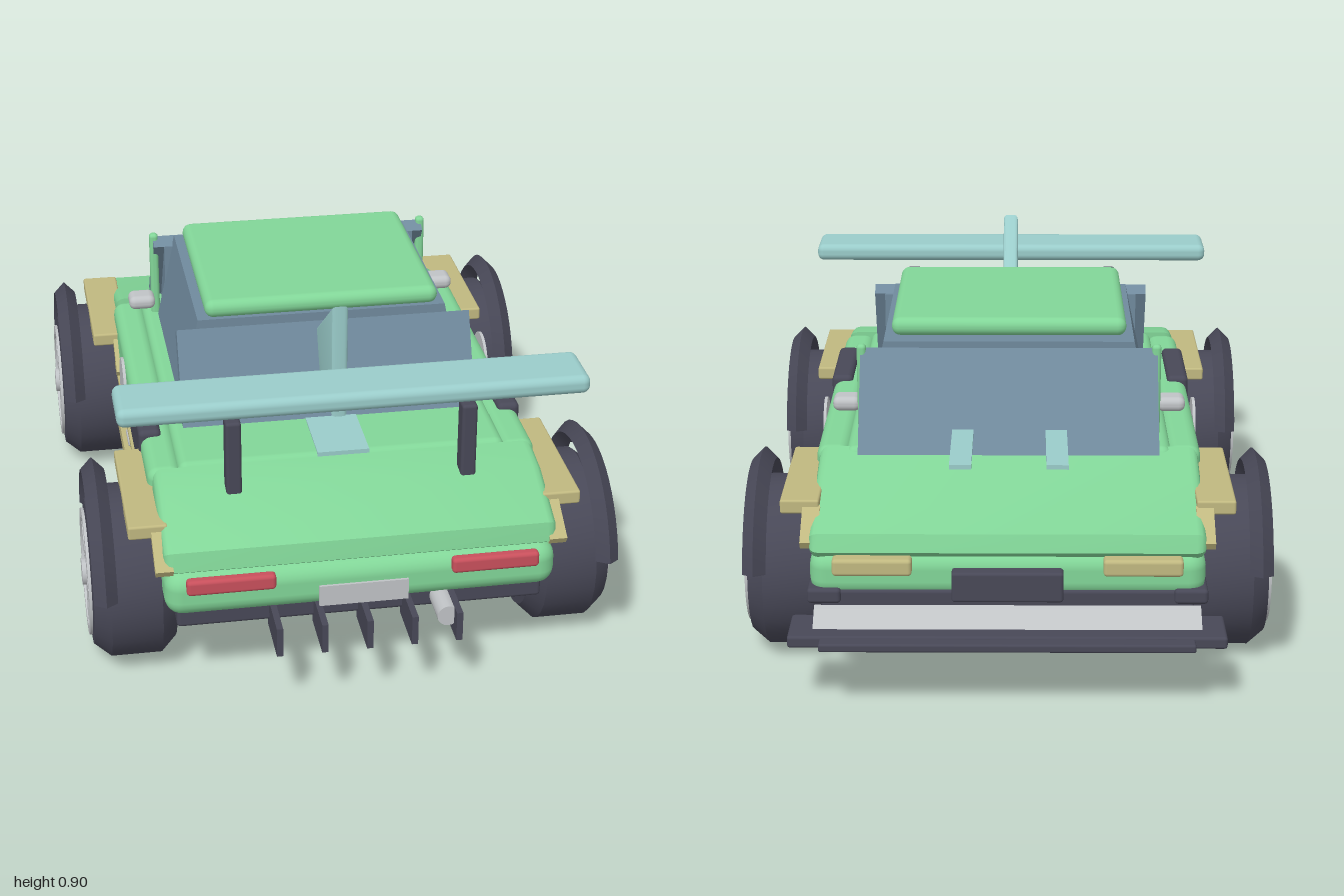
import * as THREE from 'three';
import { toCreasedNormals } from 'three/addons/utils/BufferGeometryUtils.js';
import { RoundedBoxGeometry } from 'three/addons/geometries/RoundedBoxGeometry.js';

const colour = (name, hex) => {
  const m = new THREE.MeshStandardMaterial({ color: hex });
  m.name = name;
  return m;
};

export function createModel() {
  const car = new THREE.Group();
  car.name = 'car';
  const green = colour('green paint', 0x82d698);
  const dark = colour('dark plastic', 0x484857);
  const glass = colour('blue glass', 0x708a9d);
  const teal = colour('pale teal', 0x9accca);
  const gold = colour('gold trim', 0xc0b880);
  const grey = colour('light grey', 0xc0c3c6);
  const red = colour('red lamp', 0xc8505c);

  const add = (name, geo, mat, parent = car) => {
    const m = new THREE.Mesh(geo, mat);
    m.name = name;
    parent.add(m);
    return m;
  };
  // Box given by its extents on each axis, optionally rounded
  const box = (name, mat, [x0, x1], [y0, y1], [z0, z1], r = 0, parent = car) => {
    const s = [x1 - x0, y1 - y0, z1 - z0];
    const g = r ? new RoundedBoxGeometry(...s, 3, r) : new THREE.BoxGeometry(...s);
    g.translate((x0 + x1) / 2, (y0 + y1) / 2, (z0 + z1) / 2);
    return add(name, g, mat, parent);
  };
  // The same box on both sides of the car
  const pair = (name, mat, [x0, x1], y, z, r = 0) => {
    box(name + 'Left', mat, [x0, x1], y, z, r);
    box(name + 'Right', mat, [-x1, -x0], y, z, r);
  };
  // Side profile of [z, y] points, extruded across x
  const prism = (name, mat, pts, [x0, x1], bevel = 0) => {
    const shape = new THREE.Shape(pts.map((p) => new THREE.Vector2(...p)));
    const depth = x1 - x0 - 2 * bevel;
    let g = new THREE.ExtrudeGeometry(shape, {
      depth, bevelEnabled: bevel > 0, bevelSize: bevel, bevelThickness: bevel,
      bevelOffset: -bevel, bevelSegments: 3,
    });
    g.translate(0, 0, -depth / 2);
    g.rotateY(-Math.PI / 2);
    g.translate((x0 + x1) / 2, 0, 0);
    if (bevel) g = toCreasedNormals(g, 0.6);
    return add(name, g, mat);
  };

  // Chassis and lower body
  box('underbody', dark, [-0.47, 0.47], [0.2, 0.27], [-0.83, 0.87], 0.01);
  box('lowerBody', green, [-0.5, 0.5], [0.245, 0.367], [-0.83, 0.905], 0.045);

  // Upper body: bonnet, cabin base, side shoulders and rear deck
  prism('bonnet', green, [[-0.83, 0.37], [-0.815, 0.415], [-0.44, 0.515], [-0.44, 0.36], [-0.81, 0.35]], [-0.5, 0.5], 0.025);
  prism('rearDeck', green, [[0.61, 0.36], [0.61, 0.515], [0.72, 0.5], [0.89, 0.43], [0.9, 0.38], [0.87, 0.36]].reverse(), [-0.5, 0.5], 0.025);
  box('cabinBase', green, [-0.43, 0.43], [0.35, 0.52], [-0.47, 0.61], 0.025);
  pair('shoulder', green, [0.42, 0.51], [0.36, 0.51], [-0.44, 0.615], 0.03);

  // Cabin: side glass leaning inwards, sloped front and rear screens
  const cabin = new THREE.BoxGeometry(1, 1, 1);
  const p = cabin.attributes.position;
  for (let i = 0; i < p.count; i++) {
    const top = p.getY(i) > 0;
    p.setXYZ(i, Math.sign(p.getX(i)) * (top ? 0.335 : 0.39), top ? 0.765 : 0.51, p.getZ(i) > 0 ? 0.27 : -0.31);
  }
  cabin.computeVertexNormals();
  add('cabinGlass', cabin, glass);
  prism('windscreen', glass, [[-0.51, 0.515], [-0.335, 0.755], [-0.3, 0.735], [-0.45, 0.515]].reverse(), [-0.395, 0.395]);
  prism('rearScreen', glass, [[0.41, 0.515], [0.3, 0.755], [0.27, 0.735], [0.36, 0.515]], [-0.395, 0.395]);
  prism('frontQuarterGlass', glass, [[-0.46, 0.515], [-0.3, 0.515], [-0.3, 0.735]], [-0.365, 0.365]);
  prism('rearQuarterGlass', glass, [[0.26, 0.515], [0.37, 0.515], [0.28, 0.735], [0.26, 0.735]], [-0.365, 0.365]);
  box('roof', green, [-0.315, 0.315], [0.768, 0.818], [-0.28, 0.28], 0.024);
  pair('pillarPost', green, [0.38, 0.405], [0.51, 0.765], [-0.347, -0.32], 0.01);
  pair('mirror', grey, [0.4, 0.475], [0.565, 0.605], [-0.31, -0.24], 0.018);

  // Bonnet blades, deck plate and dorsal fin
  for (const x of [-0.125, 0.12]) box('bonnetBlade', teal, [x - 0.028, x + 0.028], [0.56, 0.572], [-0.74, -0.47]);
  box('deckPlate', teal, [-0.068, 0.068], [0.512, 0.524], [0.41, 0.605]);
  prism('dorsalFin', teal, [[0.54, 0.59], [0.54, 0.905], [0.29, 0.73], [0.29, 0.59]], [-0.021, 0.021], 0.01);

  // Rear wing on two posts
  box('wing', teal, [-0.595, 0.595], [0.735, 0.785], [0.635, 0.797], 0.02);
  pair('wingPost', dark, [0.282, 0.322], [0.45, 0.695], [0.68, 0.732], 0.008);

  // Side details
  pair('sideIntake', dark, [0.455, 0.515], [0.375, 0.525], [0.133, 0.425], 0.015);
  pair('sillRail', gold, [0.46, 0.525], [0.212, 0.255], [-0.33, 0.4]);
  pair('upperRail', gold, [0.49, 0.52], [0.355, 0.372], [-0.31, 0.4]);
  for (const z of [-0.3, -0.2, -0.145, 0.365]) pair('railStrut', dark, [0.485, 0.515], [0.25, 0.355], [z - 0.008, z + 0.008]);
  pair('doorHandle', grey, [0.5, 0.522], [0.325, 0.345], [0.055, 0.135], 0.007);
  for (const s of [1, -1]) {
    const disc = new THREE.CylinderGeometry(1, 1, 0.008, 32);
    disc.rotateZ(Math.PI / 2).scale(1, 0.095, 0.08).translate(s * 0.517, 0.42, -0.033);
    add('doorRoundel', disc, grey);
  }

  // Tail: lamps, plate, diffuser fins, exhaust
  pair('tailLamp', red, [0.224, 0.448], [0.322, 0.364], [0.895, 0.925], 0.01);
  box('rearPlate', grey, [-0.114, 0.114], [0.255, 0.312], [0.9, 0.912]);
  for (const x of [-0.228, -0.114, 0, 0.114, 0.228]) box('diffuserFin', dark, [x - 0.008, x + 0.008], [0.175, 0.255], [0.85, 1]);
  const pipe = new THREE.CylinderGeometry(0.028, 0.028, 0.12, 16);
  pipe.rotateX(Math.PI / 2).translate(0.205, 0.23, 0.91);
  add('exhaust', pipe, grey);

  // Nose: lamps, grille, splitter
  pair('headLamp', gold, [0.24, 0.44], [0.315, 0.36], [-0.855, -0.81], 0.01);
  box('grille', dark, [-0.14, 0.14], [0.25, 0.33], [-0.865, -0.81], 0.008);
  pair('noseCorner', dark, [0.42, 0.505], [0.235, 0.275], [-0.84, -0.72], 0.01);
  box('splitter', dark, [-0.545, 0.545], [0.17, 0.202], [-0.965, -0.825], 0.008);
  box('splitterLip', dark, [-0.465, 0.465], [0.175, 0.197], [-1, -0.96], 0.006);
  prism('splitterBlade', grey, [[-0.925, 0.198], [-0.845, 0.198], [-0.855, 0.24], [-0.87, 0.235]], [-0.485, 0.485]);

  // Wheels with arches and gold fender pads; built for +x, turned for -x
  const half = new THREE.Vector2();
  const lathe = (pts) => toCreasedNormals(
    new THREE.LatheGeometry(pts.map(([r, x]) => half.clone().set(r, x)), 28).rotateZ(-Math.PI / 2), 0.4);
  const tyre = lathe([[0, 0.46], [0.185, 0.46], [0.225, 0.5], [0.225, 0.63], [0.19, 0.672], [0.163, 0.675], [0.155, 0.64], [0, 0.64]]);
  const rim = lathe([[0.14, 0.64], [0.166, 0.64], [0.166, 0.682], [0.142, 0.682], [0.138, 0.64]]);
  const brake = new THREE.CylinderGeometry(0.105, 0.105, 0.015, 24).rotateZ(Math.PI / 2);
  const hub = new THREE.CylinderGeometry(0.035, 0.035, 0.05, 16).rotateZ(Math.PI / 2);
  const arc = Math.PI * 0.86;
  const arch = toCreasedNormals(
    new THREE.TorusGeometry(0.265, 0.03, 4, 20, arc).rotateZ((Math.PI - arc) / 2).rotateY(Math.PI / 2), 0.5);
  const cap = new THREE.CircleGeometry(0.03, 4);

  for (const [end, z] of [['front', -0.51], ['rear', 0.604]]) {
    for (const s of [1, -1]) {
      const w = new THREE.Group();
      w.name = end + (s > 0 ? 'LeftWheel' : 'RightWheel');
      w.position.set(0, 0.226, z);
      if (s < 0) w.rotation.y = Math.PI;
      car.add(w);
      add('tyre', tyre, dark, w);
      add('rim', rim, grey, w);
      add('brakeDisc', brake, teal, w).position.x = 0.642;
      add('hub', hub, grey, w).position.x = 0.665;
      for (let i = 0; i < 6; i++) {
        const spoke = new THREE.BoxGeometry(0.022, 0.15, 0.036);
        spoke.translate(0.668, 0.078, 0).rotateX((i * Math.PI) / 3);
        add('spoke', spoke, grey, w);
      }
      add('wheelArch', arch, dark, w).position.x = 0.645;
      // Closed ends of the arch
      for (const e of [1, -1]) {
        const a = (Math.PI - arc) / 2;
        const c = add('archEnd', cap, dark, w);
        c.position.set(0.645, 0.265 * Math.sin(a), e * 0.265 * Math.cos(a));
        c.rotation.x = Math.PI / 2 + e * a;
      }
      box('fenderPad', gold, [0.48, 0.58], [0.203, 0.24], [-0.205, 0.205], 0.006, w);
      for (const e of [1, -1]) {
        const skirt = new THREE.BoxGeometry(0.045, 0.022, 0.12);
        skirt.rotateX(e * 0.55).translate(0.5, 0.185, e * 0.245);
        add('fenderSkirt', skirt, gold, w);
      }
    }
  }
  return car;
}
